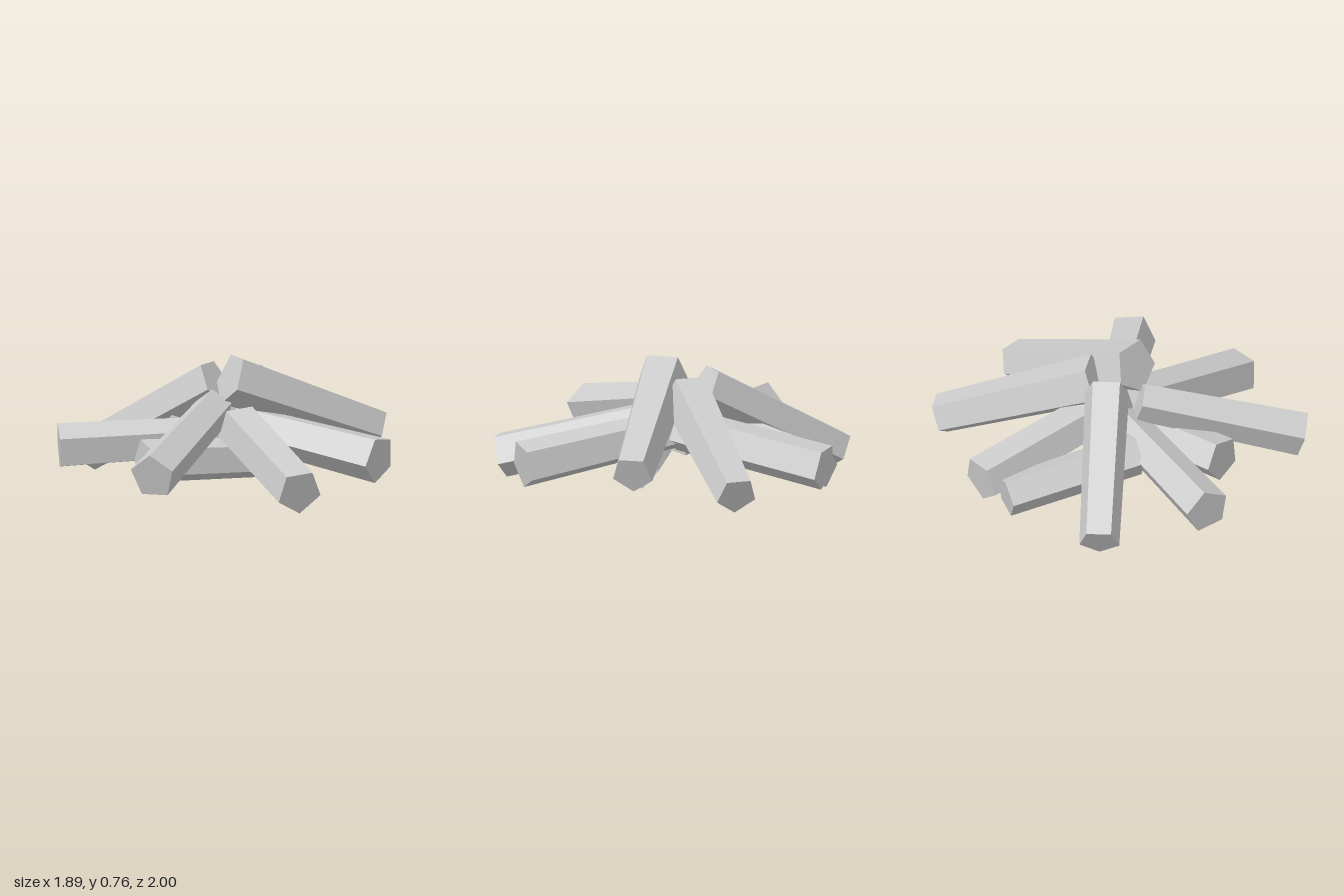
import * as THREE from 'three';

// Each log: outer end centre, inner end centre, outer radius, inner radius,
// and the direction one corner of its five-sided section points in.
const DOWN = [0, -1, 0];
const LOGS = {
  frontRightLog: [[-0.488, 0.22, 0.855], [-0.05, 0.475, 0.04], 0.135, 0.115, [-0.024, 0.11, 0.04]],
  backRightLog: [[-0.718, 0.121, -0.648], [-0.025, 0.6, -0.165], 0.12, 0.132, DOWN],
  rightLog: [[-0.93, 0.247, -0.052], [0.03, 0.297, -0.02], 0.136, 0.12, [0, 0.13, -0.024]],
  bottomLog: [[-0.485, 0.22, 0.325], [0.41, 0.187, 0.03], 0.13, 0.12, [-0.04, -0.01, -0.12]],
  frontLog: [[0.345, 0.135, 0.952], [0.085, 0.378, 0.105], 0.135, 0.135, [0.015, -0.133, 0]],
  frontLeftLog: [[0.843, 0.248, 0.54], [0.11, 0.365, -0.06], 0.14, 0.12, [-0.02, -0.12, 0.005]],
  leftLog: [[0.9, 0.307, -0.205], [0.035, 0.651, 0.066], 0.12, 0.155, DOWN],
  backLeftLog: [[0.748, 0.226, -0.802], [0.13, 0.576, -0.144], 0.12, 0.153, DOWN],
  backLog: [[0.033, 0.24, -0.977], [0.12, 0.37, -0.08], 0.136, 0.13, DOWN],
  lowerBackLog: [[-0.11, 0.18, -0.895], [-0.25, 0.28, -0.11], 0.12, 0.13, [-0.28, 1, 0]],
};

// Tapered five-sided log laid between two points
function makeLog(outer, inner, outerRadius, innerRadius, corner, material) {
  const a = new THREE.Vector3(...outer), b = new THREE.Vector3(...inner);
  const axis = b.clone().sub(a);
  const length = axis.length();
  axis.normalize();
  const z = new THREE.Vector3(...corner).projectOnPlane(axis).normalize();
  const x = new THREE.Vector3().crossVectors(axis, z);
  const mesh = new THREE.Mesh(
    new THREE.CylinderGeometry(innerRadius, outerRadius, length, 5), material);
  mesh.quaternion.setFromRotationMatrix(new THREE.Matrix4().makeBasis(x, axis, z));
  mesh.position.copy(a).add(b).multiplyScalar(0.5);
  return mesh;
}

export function createModel() {
  const group = new THREE.Group();
  group.name = 'logPile';
  const material = new THREE.MeshStandardMaterial({ color: 0xcccccc, flatShading: true });
  for (const [name, spec] of Object.entries(LOGS)) {
    const log = makeLog(...spec, material);
    log.name = name;
    group.add(log);
  }
  return group;
}
